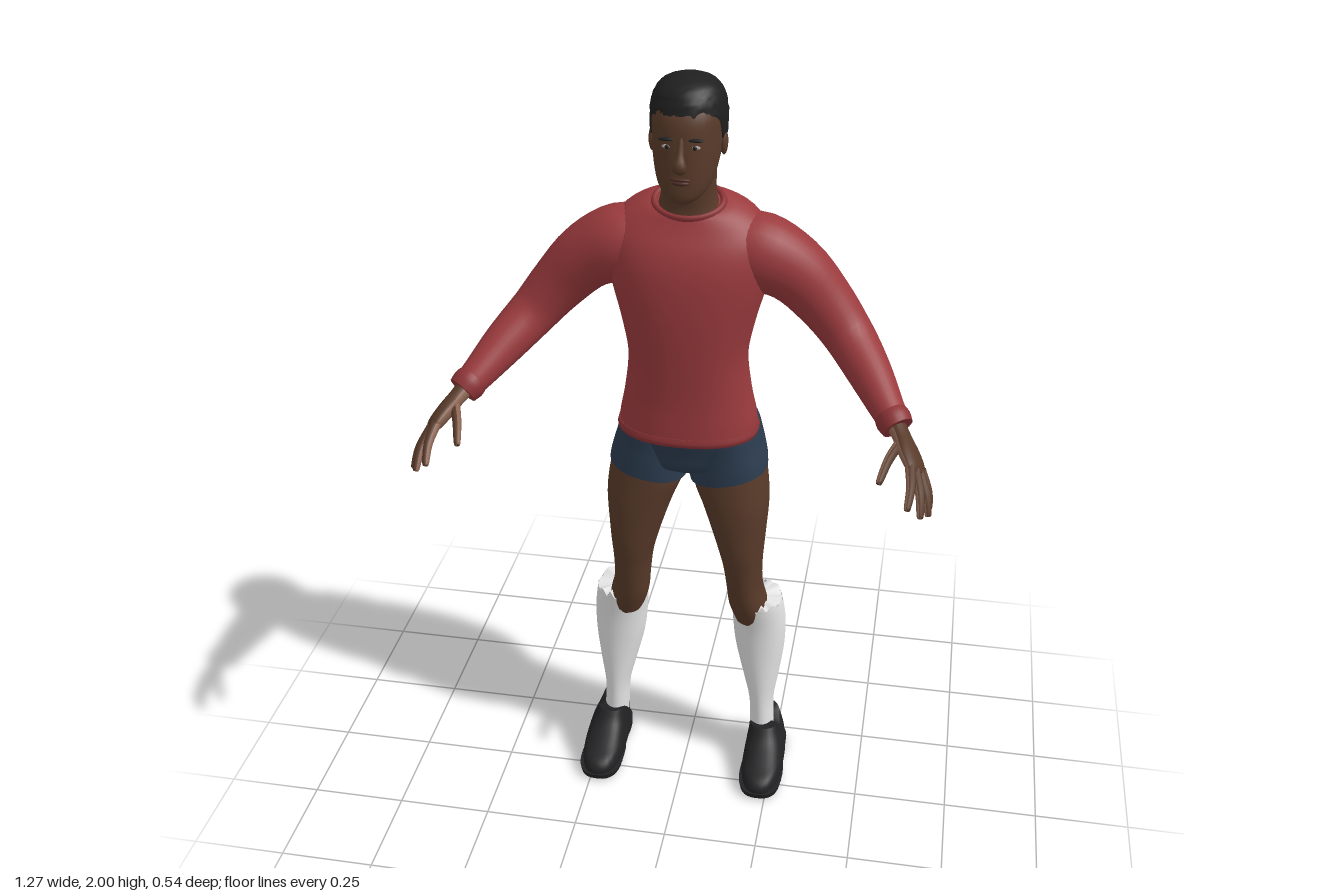
import * as THREE from 'three';

const mat = (name, color) => Object.assign(new THREE.MeshStandardMaterial({ color }), { name });
const M = {
  skin: mat('skin', 0x583a29), palm: mat('palm skin', 0x8d6653), hair: mat('hair black', 0x1f1f20),
  shirt: mat('sweater red', 0x9a3a3d), trim: mat('sweater trim red', 0x8c3336), shorts: mat('shorts navy', 0x2b3b4e),
  sock: mat('sock white', 0xe4e4e4), shoe: mat('shoe black', 0x222224), lips: mat('lips', 0x4a2a22), eye: mat('eye white', 0xa89a90),
};

let seed = 7;
const rnd = () => (seed = (seed * 16807) % 2147483647) / 2147483647 - 0.5;
const V = (x, y, z) => new THREE.Vector3(x, y, z);

// Catmull-Rom through rows of numbers
function spline(rows, sub = 4) {
  const out = [];
  for (let i = 0; i < rows.length - 1; i++) {
    const [a, b, c, d] = [rows[Math.max(i - 1, 0)], rows[i], rows[i + 1], rows[Math.min(i + 2, rows.length - 1)]];
    for (let k = 0; k < sub; k++) {
      const t = k / sub;
      out.push(b.map((p, j) => {
        const cubic = 3 * (p - c[j]) + d[j] - a[j];
        const square = 2 * a[j] - 5 * p + 4 * c[j] - d[j];
        return p + 0.5 * t * (c[j] - a[j] + t * (square + t * cubic));
      }));
    }
  }
  out.push(rows[rows.length - 1]);
  return out;
}

// Skin over closed rings of points, with capped ends; group 1 is the second half of each ring
function loft(rings) {
  const n = rings[0].length, pos = [], halves = [[], []];
  rings.forEach(r => r.forEach(p => pos.push(p.x, p.y, p.z)));
  for (let k = 0; k < rings.length - 1; k++) for (let i = 0; i < n; i++) {
    const a = k * n + i, b = k * n + (i + 1) % n;
    halves[i < n / 2 ? 0 : 1].push(a, a + n, b, b, a + n, b + n);
  }
  [[rings[0], false], [rings[rings.length - 1], true]].forEach(([r, top]) => {
    const s = pos.length / 3, c = r.reduce((m, p) => m.add(p), V(0, 0, 0)).divideScalar(n);
    [...r, c].forEach(p => pos.push(p.x, p.y, p.z));
    for (let i = 0; i < n; i++) {
      const a = s + i, b = s + (i + 1) % n;
      halves[0].push(...(top ? [a, s + n, b] : [a, b, s + n]));
    }
  });
  const g = new THREE.BufferGeometry();
  g.setAttribute('position', new THREE.Float32BufferAttribute(pos, 3));
  g.setIndex([...halves[0], ...halves[1]]);
  g.addGroup(0, halves[0].length, 0);
  g.addGroup(halves[0].length, halves[1].length, 1);
  g.computeVertexNormals();
  return g;
}

// Upright form: rows of [y, centre x, half width, front z, back z], bottom to top
function column(rows, { n = 32, power = 2, tweak, sub = 4 } = {}) {
  return loft(spline(rows, sub).map(([y, cx, rx, zf, zb]) => Array.from({ length: n }, (_, i) => {
    const a = i / n * Math.PI * 2, c = Math.cos(a), s = Math.sin(a), e = 2 / power;
    const p = V(cx + rx * Math.sign(c) * Math.abs(c) ** e, y, (zf + zb) / 2 + (zf - zb) / 2 * Math.sign(s) * Math.abs(s) ** e);
    if (tweak) tweak(p);
    return p;
  })));
}

// Form along a path: rows of [x, y, z, radius across, radius deep]; wide is the across direction
function limb(rows, wide, n = 20) {
  const r = spline(rows), c = r.map(q => V(q[0], q[1], q[2]));
  return loft(r.map((q, k) => {
    const t = c[Math.min(k + 1, c.length - 1)].clone().sub(c[Math.max(k - 1, 0)]).normalize();
    const u = wide.clone().addScaledVector(t, -wide.dot(t)).normalize(), v = u.clone().cross(t);
    return Array.from({ length: n }, (_, i) => {
      const a = i / n * Math.PI * 2;
      return c[k].clone().addScaledVector(u, q[3] * Math.cos(a)).addScaledVector(v, q[4] * Math.sin(a));
    });
  }));
}

const ball = (x, y, z, rx, ry, rz) => new THREE.SphereGeometry(1, 16, 12).scale(rx, ry, rz).translate(x, y, z);

function mirrored(g) {
  const m = g.clone().scale(-1, 1, 1), ix = m.index.array;
  for (let i = 0; i < ix.length; i += 3) [ix[i], ix[i + 1]] = [ix[i + 1], ix[i]];
  return m;
}

export function createModel() {
  const model = new THREE.Group();
  model.name = 'standingMan';
  const add = (name, g, material) => {
    if (!Array.isArray(material)) g.clearGroups();
    const mesh = new THREE.Mesh(g, material);
    mesh.name = name;
    model.add(mesh);
  };
  const pair = (name, g, material) => {
    add('left' + name, g, material);
    add('right' + name, mirrored(g), material);
  };

  // Head and neck
  add('head', column([[1.724, 0, .022, -.005, -.06], [1.74, 0, .047, .003, -.1], [1.77, 0, .066, .004, -.14], [1.82, 0, .078, .002, -.18],
    [1.87, 0, .082, -.002, -.2], [1.92, 0, .082, -.012, -.2], [1.965, 0, .065, -.045, -.18], [1.985, 0, .03, -.08, -.14]], { power: 2.2 }), M.skin);
  add('neck', column([[1.63, 0, .09, -.05, -.18], [1.68, 0, .076, -.06, -.178], [1.72, 0, .066, -.055, -.176], [1.79, 0, .066, -.04, -.185]]), M.skin);
  add('nose', limb([[0, 1.88, -.01, .007, .008], [0, 1.845, .004, .009, .01], [0, 1.82, .014, .017, .014], [0, 1.807, .006, .013, .009]], V(1, 0, 0), 14), M.skin);
  add('upperLip', ball(0, 1.787, .002, .024, .005, .009), M.lips);
  add('lowerLip', ball(0, 1.778, .001, .02, .006, .009), M.lips);
  pair('Ear', ball(.084, 1.845, -.105, .009, .03, .018), M.skin);
  pair('Eye', ball(.032, 1.86, -.009, .013, .005, .005), M.eye);
  pair('Pupil', ball(.032, 1.86, -.005, .005, .005, .003), M.hair);
  pair('Brow', ball(.033, 1.877, -.008, .02, .004, .006), M.hair);

  // Hair: a slightly rough cap whose lower edge drops from brow to nape
  const cap = spline([[1.77, .062, -.03, -.19], [1.82, .082, -.02, -.206], [1.87, .089, -.014, -.217], [1.92, .09, -.014, -.218],
    [1.96, .08, -.028, -.205], [1.985, .058, -.055, -.178], [2, .012, -.1, -.13]]);
  const hairRings = [];
  for (let k = 0; k <= 18; k++) hairRings.push(Array.from({ length: 40 }, (_, i) => {
    const a = i / 40 * Math.PI * 2, s = Math.sin(a);
    const edge = 1.78 + .06 * THREE.MathUtils.smoothstep(s, -.6, -.1) + .08 * THREE.MathUtils.smoothstep(s, .1, .6);
    const y = edge + (1.999 - edge) * Math.sin(k / 18 * Math.PI / 2);
    const j = Math.max(1, cap.findIndex(q => q[0] >= y)), t = (y - cap[j - 1][0]) / (cap[j][0] - cap[j - 1][0]);
    const [, rx, zf, zb] = cap[j].map((q, m) => THREE.MathUtils.lerp(cap[j - 1][m], q, t));
    const f = 1 + rnd() * .035;
    return V(rx * f * Math.cos(a), y, (zf + zb) / 2 + (zf - zb) / 2 * f * s);
  }));
  add('hair', loft(hairRings), M.hair);

  // Sweater body, with the neckline sloping forward
  add('sweaterBody', column([[1.085, 0, .178, -.001, -.248], [1.13, 0, .174, -.002, -.246], [1.2, 0, .16, -.003, -.236], [1.3, 0, .15, .002, -.232],
    [1.4, 0, .168, .006, -.244], [1.48, 0, .19, .004, -.255], [1.55, 0, .203, -.005, -.254], [1.61, 0, .198, -.025, -.243],
    [1.655, 0, .165, -.042, -.222], [1.685, 0, .115, -.055, -.19], [1.695, 0, .08, -.06, -.178]],
  { n: 40, power: 2.25, tweak: p => { p.y -= (p.z + .12) * .38 * THREE.MathUtils.smoothstep(p.y, 1.58, 1.7); } }), M.shirt);
  add('hem', column([[1.08, 0, .18, 0, -.25], [1.09, 0, .183, .003, -.252], [1.103, 0, .179, 0, -.249]], { n: 40, power: 2.25 }), M.trim);
  add('collar', new THREE.TorusGeometry(1, .1, 10, 40).rotateX(Math.PI / 2).scale(.083, .09, .064).rotateX(.38).translate(0, 1.692, -.118), M.trim);

  // Sleeves and cuffs
  const back = V(0, .3, -1);
  pair('Sleeve', limb([[.1, 1.578, -.135, .08, .08], [.17, 1.565, -.14, .093, .097], [.255, 1.522, -.145, .083, .084], [.33, 1.445, -.145, .072, .072],
    [.395, 1.37, -.122, .064, .062], [.455, 1.31, -.05, .054, .054], [.505, 1.258, .025, .042, .042], [.532, 1.232, .062, .036, .036]], back, 28), M.shirt);
  pair('Cuff', limb([[.515, 1.248, .04, .041, .041], [.524, 1.24, .052, .043, .043], [.535, 1.229, .066, .039, .039]], back, 24), M.trim);

  // Hands, with paler palms
  const wide = V(-.025, .035, .055), hand = [M.skin, M.palm];
  pair('Hand', limb([[.525, 1.238, .05, .027, .024], [.545, 1.218, .083, .028, .021], [.565, 1.197, .118, .041, .021], [.583, 1.177, .15, .043, .018],
    [.592, 1.166, .165, .036, .01]], wide), hand);
  const fingers = {
    Index: [[.573, 1.19, .172], [.579, 1.162, .222], [.575, 1.13, .264]],
    Middle: [[.584, 1.178, .165], [.601, 1.142, .215], [.606, 1.103, .25]],
    Ring: [[.592, 1.167, .148], [.615, 1.127, .187], [.624, 1.087, .213]],
    Little: [[.597, 1.157, .128], [.618, 1.117, .155], [.625, 1.082, .172]],
    Thumb: [[.545, 1.213, .105], [.522, 1.198, .165], [.506, 1.17, .222]],
  };
  for (const [name, [a, b, c]] of Object.entries(fingers)) {
    const tip = c.map((q, i) => q + (q - b[i]) * .06);
    pair(name + 'Finger', limb([[...a, .013, .013], [...b, .0115, .011], [...c, .008, .008], [...tip, .002, .002]], wide, 12), hand);
  }

  // Shorts: hips plus two short legs whose openings rise to the outside
  add('shortsHips', column([[.965, 0, .06, -.07, -.2], [.99, 0, .15, -.04, -.235], [1.03, 0, .183, -.03, -.25], [1.08, 0, .18, -.018, -.258],
    [1.115, 0, .168, -.012, -.252]], { n: 40, power: 2.3 }), M.shorts);
  pair('ShortsLeg', column([[.955, .106, .101, -.031, -.232], [.99, .103, .1, -.03, -.252], [1.04, .098, .094, -.03, -.268], [1.09, .095, .084, -.028, -.266],
    [1.11, .095, .07, -.04, -.25]],
  { power: 2.2, tweak: p => { p.y += (p.x - .1) * .2 * THREE.MathUtils.clamp((1.06 - p.y) / .1, 0, 1); } }), M.shorts);

  // Legs
  pair('Leg', column([[.48, .18, .05, -.09, -.2], [.54, .165, .052, -.068, -.203], [.6, .155, .048, -.055, -.203], [.67, .15, .052, -.043, -.2],
    [.73, .145, .061, -.033, -.2], [.8, .137, .074, -.03, -.202], [.87, .127, .088, -.03, -.208], [.93, .113, .098, -.033, -.222],
    [.99, .105, .096, -.036, -.24]], { power: 2.15 }), M.skin);

  // Socks with an uneven top edge
  pair('Sock', column([[.06, .215, .034, -.1, -.2], [.13, .212, .034, -.1, -.203], [.2, .209, .035, -.099, -.208], [.28, .205, .05, -.097, -.218],
    [.38, .199, .068, -.095, -.227], [.46, .195, .073, -.09, -.23], [.52, .19, .071, -.08, -.227], [.545, .187, .069, -.076, -.224]],
  { n: 36, tweak: p => { if (p.y > .54) p.y += rnd() * .022; } }), M.sock);

  // Shoes: upper with a dipped ankle opening, sole and heel
  pair('Shoe', column([[.015, .23, .055, .07, -.222], [.035, .23, .058, .072, -.224], [.055, .23, .056, .055, -.223], [.072, .229, .053, .01, -.222],
    [.1, .226, .047, -.05, -.22], [.13, .222, .042, -.08, -.214]],
  { power: 2.5, tweak: p => { if (p.y > .08) p.y -= (p.y - .08) * .75 * Math.exp(-(((p.z + .155) / .03) ** 2)); } }), M.shoe);
  pair('Sole', column([[.006, .23, .057, .072, -.1], [.022, .23, .061, .076, -.12]], { power: 2.6, sub: 1 }), M.shoe);
  pair('Heel', column([[0, .23, .052, -.1, -.226], [.03, .23, .054, -.08, -.228]], { power: 3, sub: 1 }), M.shoe);

  return model;
}
